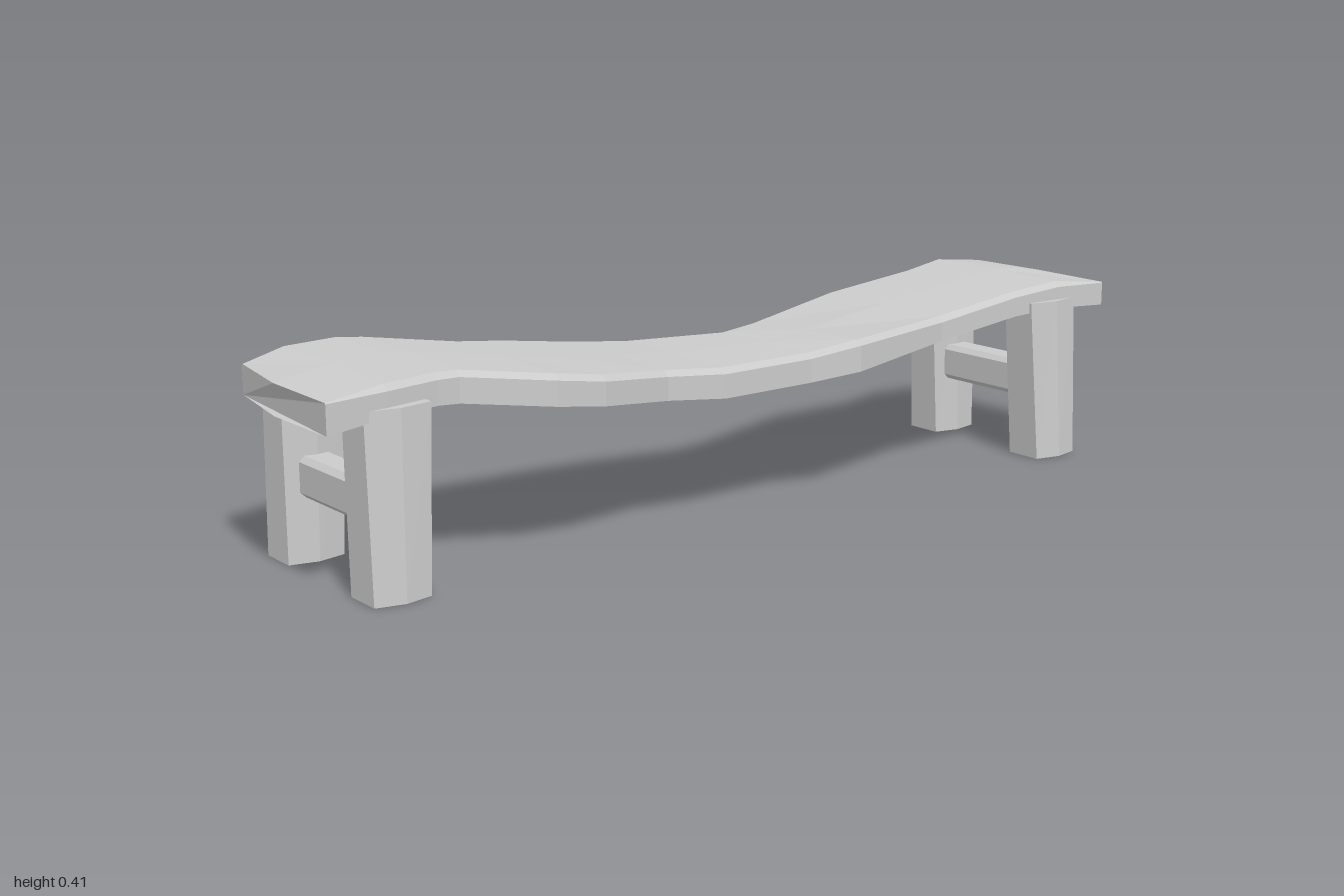
import * as THREE from 'three';

const material = new THREE.MeshStandardMaterial({ color: 0xcccccc, flatShading: true });

// Skin a series of closed rings; each ring runs counter-clockwise seen from the end it advances to.
function loft(name, rings) {
  const pos = [];
  const tri = (a, b, c) => pos.push(...a, ...b, ...c);
  const n = rings[0].length;
  for (let i = 0; i < rings.length - 1; i++) {
    for (let j = 0; j < n; j++) {
      const k = (j + 1) % n, p = rings[i], q = rings[i + 1];
      tri(p[j], p[k], q[k]);
      tri(p[j], q[k], q[j]);
    }
  }
  const first = rings[0], last = rings[rings.length - 1];
  for (let j = 1; j < n - 1; j++) {
    tri(first[0], first[j + 1], first[j]);
    tri(last[0], last[j], last[j + 1]);
  }
  const geo = new THREE.BufferGeometry();
  geo.setAttribute('position', new THREE.Float32BufferAttribute(pos, 3));
  geo.computeVertexNormals();
  const mesh = new THREE.Mesh(geo, material);
  mesh.name = name;
  return mesh;
}

// Wavy plank: z, left x, right x, top left y, top right y, bottom left y, bottom right y
const stations = [
  [-0.87, -0.215, 0.185, 0.402, 0.400, 0.338, 0.340],
  [-0.74, -0.185, 0.180, 0.392, 0.390, 0.325, 0.335],
  [-0.52, -0.210, 0.170, 0.360, 0.358, 0.282, 0.305],
  [-0.23, -0.135, 0.227, 0.335, 0.352, 0.245, 0.285],
  [-0.13, -0.122, 0.185, 0.328, 0.330, 0.238, 0.268],
  [0.10, -0.160, 0.190, 0.332, 0.330, 0.245, 0.268],
  [0.24, -0.160, 0.182, 0.348, 0.342, 0.260, 0.282],
  [0.42, -0.148, 0.225, 0.375, 0.365, 0.290, 0.305],
  [0.53, -0.142, 0.225, 0.388, 0.382, 0.308, 0.320],
  [0.70, -0.215, 0.155, 0.407, 0.400, 0.332, 0.338],
  [0.75, -0.232, 0.160, 0.410, 0.402, 0.338, 0.342],
  [0.87, -0.215, 0.185, 0.410, 0.402, 0.338, 0.342],
];

function plankRing([z, xl, xr, tl, tr, bl, br], bevel = 0.012) {
  const xc = (xl + xr) / 2;
  return [
    [xl, bl, z], [xc, (bl + br) / 2, z], [xr, br, z],
    [xr, tr - bevel, z], [xr - bevel, tr, z],
    [xc, (tl + tr) / 2 + 0.002, z],
    [xl + bevel, tl, z], [xl, tl - bevel, z],
  ];
}

function makePlank() {
  // Back end: a straight upright face with a triangular facet cut into the top
  const backData = [-1, -0.2, 0.2, 0.388, 0.388, 0.335, 0.335];
  const back = plankRing(backData, 0.002), notch = plankRing(backData, 0.002);
  notch[5] = [0, 0.402, -0.94];
  // Front end: left corner swept back
  const front = plankRing([1, -0.19, 0.2, 0.39, 0.39, 0.33, 0.33], 0.002);
  for (const j of [0, 6, 7]) front[j][2] = 0.965;
  return loft('seatPlank', [back, notch, ...stations.map((s) => plankRing(s)), front]);
}

// Six-sided leg, points facing sideways
function makeLeg(name, bottom, top) {
  const ring = ([x0, x1, z0, z1], y) => {
    const zm = (z0 + z1) / 2, c = 0.013;
    return [[x1, y, zm], [x1 - c, y, z0], [x0 + c, y, z0],
      [x0, y, zm], [x0 + c, y, z1], [x1 - c, y, z1]];
  };
  return loft(name, [ring(bottom, 0), ring(top, 0.36)]);
}

// Chamfered bar between a pair of legs
function makeStretcher(name, z) {
  const ring = (x) => {
    const h = 0.041, d = 0.036, c = 0.011, y = 0.171;
    return [[h, -d + c], [h, d - c], [h - c, d], [c - h, d],
      [-h, d - c], [-h, c - d], [c - h, -d], [h - c, -d]].map(([v, w]) => [x, y + v, z + w]);
  };
  return loft(name, [ring(-0.13), ring(0.125)]);
}

export function createModel() {
  const bench = new THREE.Group();
  bench.name = 'bench';
  bench.add(makePlank());
  for (const [end, s] of [['front', 1], ['back', -1]]) {
    const span = (a, b) => (s > 0 ? [a, b] : [-b, -a]);
    const foot = span(0.8, 0.92), head = span(0.78, 0.92);
    bench.add(
      makeLeg(end + 'RightLeg', [-0.223, -0.113, ...foot], [-0.215, -0.115, ...head]),
      makeLeg(end + 'LeftLeg', [0.105, 0.215, ...foot], [0.094, 0.2, ...head]),
      makeStretcher(end + 'Stretcher', s * 0.855),
    );
  }
  return bench;
}
